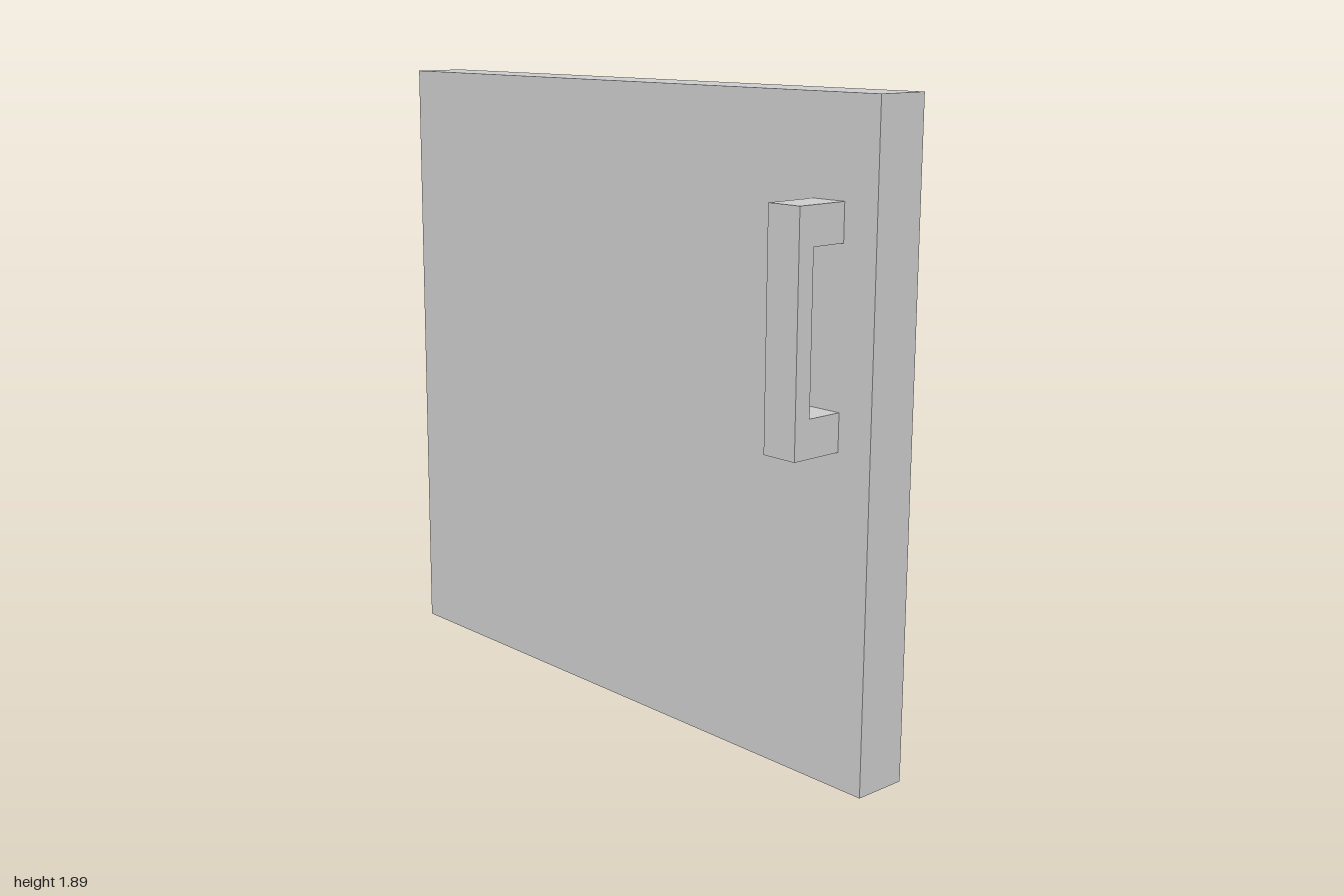
import * as THREE from 'three';

export function createModel() {
  const model = new THREE.Group();
  model.name = 'door';
  const material = new THREE.MeshStandardMaterial({ color: 0xcccccc, flatShading: true });

  // Flat door panel, its front face on z = 0
  const height = 1.89, thickness = 0.167;
  const panel = new THREE.Mesh(new THREE.BoxGeometry(2, height, thickness), material);
  panel.name = 'doorPanel';
  panel.position.set(0, height / 2, -thickness / 2);
  model.add(panel);

  // C-shaped pull handle: side profile (z, y) extruded across its width
  const bottom = 0.948, top = 1.613, reach = 0.167, gripBack = 0.113, post = 0.108;
  const profile = new THREE.Shape([
    [0, bottom], [reach, bottom], [reach, top], [0, top],
    [0, top - post], [gripBack, top - post], [gripBack, bottom + post], [0, bottom + post],
  ].map(([z, y]) => new THREE.Vector2(z, y)));
  const handleGeometry = new THREE.ExtrudeGeometry(profile, { depth: 0.111, bevelEnabled: false });
  handleGeometry.rotateY(-Math.PI / 2); // profile x becomes z, depth runs toward -x
  const handle = new THREE.Mesh(handleGeometry, material);
  handle.name = 'pullHandle';
  handle.position.x = 0.888;
  model.add(handle);

  return model;
}
